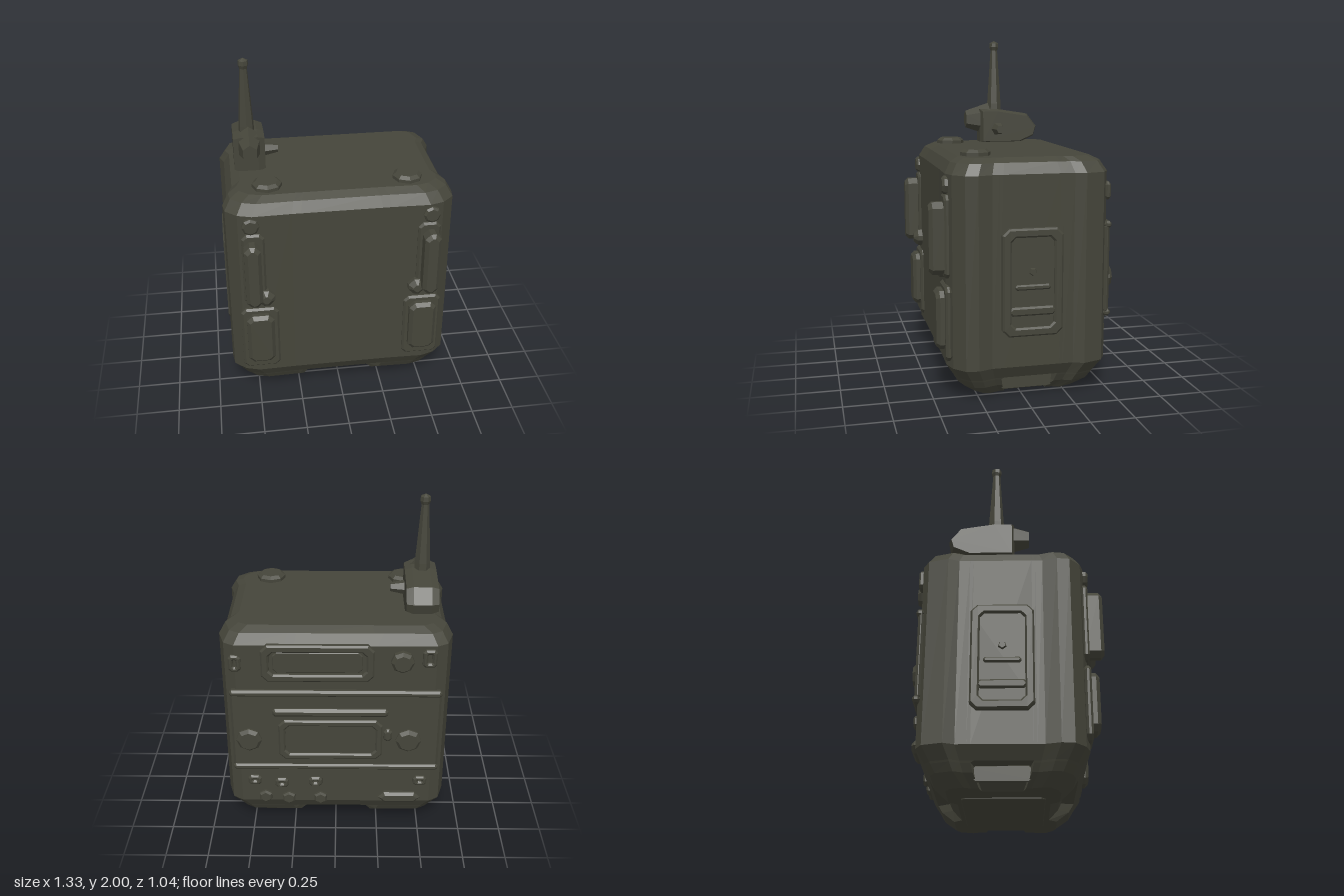
import * as THREE from 'three';

const olive = new THREE.MeshStandardMaterial({ color: 0x45453a });
olive.name = 'dark olive';

// Faceted mesh with hard normals
function part(parent, name, geo, x = 0, y = 0, z = 0) {
  const flat = geo.index ? geo.toNonIndexed() : geo;
  flat.computeVertexNormals();
  const mesh = new THREE.Mesh(flat, olive);
  mesh.name = name;
  mesh.position.set(x, y, z);
  parent.add(mesh);
  return mesh;
}

// Rectangle with cut corners
function outline(Type, w, h, c) {
  const a = w / 2, b = h / 2;
  return new Type([[-a + c, -b], [a - c, -b], [a, -b + c], [a, b - c], [a - c, b], [-a + c, b], [-a, b - c], [-a, -b + c]]
    .map(p => new THREE.Vector2(...p)));
}

// Chamfered plate standing out along +z from z = 0
function slab(w, h, d, bevel = 0.012, cut = 0.02) {
  const shape = outline(THREE.Shape, w - 2 * bevel, h - 2 * bevel, cut);
  return new THREE.ExtrudeGeometry(shape, { depth: d - bevel, bevelThickness: bevel, bevelSize: bevel, bevelSegments: 1 });
}

// Raised rim around an open recess
function frame(w, h, border, d, cut = 0.03) {
  const b = 0.01;
  const shape = outline(THREE.Shape, w - 2 * b, h - 2 * b, cut);
  shape.holes.push(outline(THREE.Path, w - 2 * border, h - 2 * border, cut));
  return new THREE.ExtrudeGeometry(shape, { depth: d - b, bevelThickness: b, bevelSize: b, bevelSegments: 1 });
}

// Knob pointing along +z
function knob(r, d, sides = 8) {
  return new THREE.LatheGeometry([[0, 0], [r, 0], [r, d * 0.6], [r * 0.75, d], [0, d]]
    .map(p => new THREE.Vector2(...p)), sides).rotateX(Math.PI / 2);
}

// Horizontal section of the case, d is the depth of the carrying notches
function ring(y, inset, d) {
  const half = [[0.23, 0.42 - d], [0.28, 0.42], [0.5, 0.425], [0.58, 0.4], [0.645, 0.34], [0.655, 0.27], [0.63, 0.19],
    [0.63, 0.15], [0.63 - d, 0.13], [0.63 - d, -0.19], [0.63, -0.21], [0.63, -0.27], [0.655, -0.33], [0.62, -0.44],
    [0.56, -0.475], [0.28, -0.475], [0.23, -0.475 + d]];
  const all = [...half, ...half.map(([x, z]) => [-x, z]).reverse()];
  return all.map(([x, z]) => [x * (1 - inset / 0.65), y, -0.028 + (z + 0.028) * (1 - inset / 0.45)]);
}

function loft(rings) {
  const n = rings[0].length, top = rings.length - 1, pos = [];
  for (let i = 0; i < n; i++) {
    const j = (i + 1) % n;
    for (let r = 0; r < top; r++) {
      const lo = rings[r], hi = rings[r + 1];
      pos.push(...lo[i], ...lo[j], ...hi[j], ...lo[i], ...hi[j], ...hi[i]);
    }
    pos.push(0, rings[top][0][1], -0.028, ...rings[top][i], ...rings[top][j]);
    pos.push(0, rings[0][0][1], -0.028, ...rings[0][j], ...rings[0][i]);
  }
  const geo = new THREE.BufferGeometry();
  geo.setAttribute('position', new THREE.Float32BufferAttribute(pos, 3));
  return geo;
}

function face(parent, name, x, z, turn) {
  const g = new THREE.Group();
  g.name = name;
  g.position.set(x, 0, z);
  g.rotation.y = turn;
  parent.add(g);
  return g;
}

export function createModel() {
  const model = new THREE.Group();
  model.name = 'fieldRadio';

  // Case with rounded edges and notched foot
  part(model, 'case', loft([
    ring(0.012, 0.15, 0.07), ring(0.075, 0.075, 0.08), ring(0.118, 0.05, 0.08), ring(0.128, 0.045, 0),
    ring(0.2, 0, 0), ring(1.27, 0, 0), ring(1.33, 0.035, 0), ring(1.355, 0.085, 0)]));
  part(model, 'bottomPanel', slab(0.62, 0.45, 0.008, 0.004).rotateX(Math.PI / 2), 0, 0.012, -0.03);

  // Front latches, mirrored
  const front = face(model, 'front', 0, 0.415, 0);
  for (const s of [-1, 1]) {
    part(front, 'latchBar', slab(0.095, 0.4, 0.105, 0.02), s * 0.508, 0.92, 0);
    part(front, 'latchPlate', slab(0.13, 0.46, 0.025), s * 0.5, 0.93, 0);
    part(front, 'latchHook', slab(0.1, 0.1, 0.06, 0.025), s * 0.44, 0.74, 0);
    part(front, 'latchBlock', slab(0.16, 0.33, 0.07, 0.02), s * 0.48, 0.465, 0);
    part(front, 'latchBase', slab(0.22, 0.42, 0.025), s * 0.48, 0.45, 0);
    part(front, 'latchPin', knob(0.05, 0.03), s * 0.51, 1.21, 0);
  }

  // Side hatches with a ledge and a slot rim
  for (const s of [-1, 1]) {
    const side = face(model, s > 0 ? 'leftSide' : 'rightSide', s * 0.63, -0.03, s * Math.PI / 2);
    part(side, 'hatch', slab(0.34, 0.6, 0.02, 0.008, 0.04), 0, 0.68, 0);
    part(side, 'hatchRim', frame(0.34, 0.6, 0.04, 0.035, 0.03), 0, 0.68, 0);
    part(side, 'hatchLedge', slab(0.2, 0.03, 0.035, 0.008, 0.005), 0, 0.655, 0);
    part(side, 'hatchGrip', slab(0.26, 0.05, 0.032, 0.01, 0.01), 0, 0.52, 0);
    part(side, 'hatchButton', knob(0.025, 0.032, 5), 0, 0.74, 0);
    part(side, 'footSocket', slab(0.3, 0.085, 0.012, 0.004, 0.01), -0.0, 0.078, -0.115);
  }

  // Control face at the back; local x runs toward the model's right
  const back = face(model, 'controlFace', 0, -0.47, Math.PI);
  part(back, 'displayRim', frame(0.63, 0.23, 0.035, 0.03), -0.1, 1.165, 0);
  part(back, 'displayPanel', slab(0.5, 0.13, 0.012, 0.005), -0.1, 1.165, 0);
  part(back, 'controlPlate', slab(1.2, 0.54, 0.02, 0.015, 0.02), 0, 0.72, 0);
  for (const y of [0.97, 0.465]) part(back, 'plateLip', slab(1.2, 0.04, 0.03, 0.012, 0.005), 0, y, 0);
  part(back, 'handleBar', slab(0.66, 0.05, 0.045, 0.015, 0.005), -0.03, 0.85, 0);
  part(back, 'screenRim', frame(0.6, 0.27, 0.03, 0.035), -0.03, 0.66, 0);
  for (const x of [-0.5, 0.42]) part(back, 'dial', knob(0.075, 0.05), x, 0.66, 0);
  part(back, 'dialPointer', slab(0.05, 0.08, 0.045, 0.012, 0.01), 0.3, 0.7, 0);
  part(back, 'tuningKnob', knob(0.065, 0.05), 0.37, 1.18, 0);
  part(back, 'switchLeft', frame(0.07, 0.1, 0.018, 0.022, 0.01), -0.56, 1.16, 0);
  part(back, 'switchRight', frame(0.08, 0.11, 0.018, 0.03, 0.01), 0.52, 1.2, 0);
  for (const [x, y] of [[-0.48, 0.36], [-0.32, 0.34], [-0.12, 0.35], [0.5, 0.36]])
    part(back, 'socket', frame(0.08, 0.065, 0.018, 0.025, 0.01), x, y, 0);
  for (const [x, y] of [[-0.42, 0.24], [-0.28, 0.23], [-0.09, 0.23]]) part(back, 'plug', knob(0.042, 0.03, 6), x, y, 0);
  part(back, 'cableClamp', slab(0.24, 0.07, 0.035, 0.015), 0.38, 0.24, 0);

  // Feet pucks on the lid
  for (const x of [-0.4, 0.4]) {
    part(model, 'lidPuck', knob(0.085, 0.04).rotateX(-Math.PI / 2), x, 1.35, 0.235);
  }

  // Antenna mount: side profile in z and y, extruded across x
  const mount = new THREE.Shape([[0.02, 1.36], [0.02, 1.55], [-0.08, 1.55], [-0.27, 1.52], [-0.325, 1.45],
    [-0.31, 1.4], [-0.22, 1.36]].map(p => new THREE.Vector2(...p)));
  const mountGeo = new THREE.ExtrudeGeometry(mount, { depth: 0.1, bevelThickness: 0.04, bevelSize: 0.014, bevelSegments: 1 });
  part(model, 'antennaMount', mountGeo.translate(0, 0, -0.05).rotateY(-Math.PI / 2), -0.48);
  const nose = new THREE.CylinderGeometry(0.06, 0.115, 0.15, 6).rotateX(Math.PI / 2);
  part(model, 'mountNose', nose, -0.48, 1.5, 0.045).scale.set(0.75, 0.9, 1);
  const boss = new THREE.CylinderGeometry(0.025, 0.05, 0.12, 6).rotateZ(-Math.PI / 2);
  part(model, 'mountBoss', boss, -0.37, 1.44, -0.075);

  // Tapered antenna with a tip bead
  const whip = [[0, 1.5], [0.048, 1.5], [0.045, 1.6], [0.022, 1.94], [0.03, 1.96], [0.028, 1.985], [0, 2]];
  part(model, 'antenna', new THREE.LatheGeometry(whip.map(p => new THREE.Vector2(...p)), 7), -0.488, 0, -0.072);

  return model;
}
